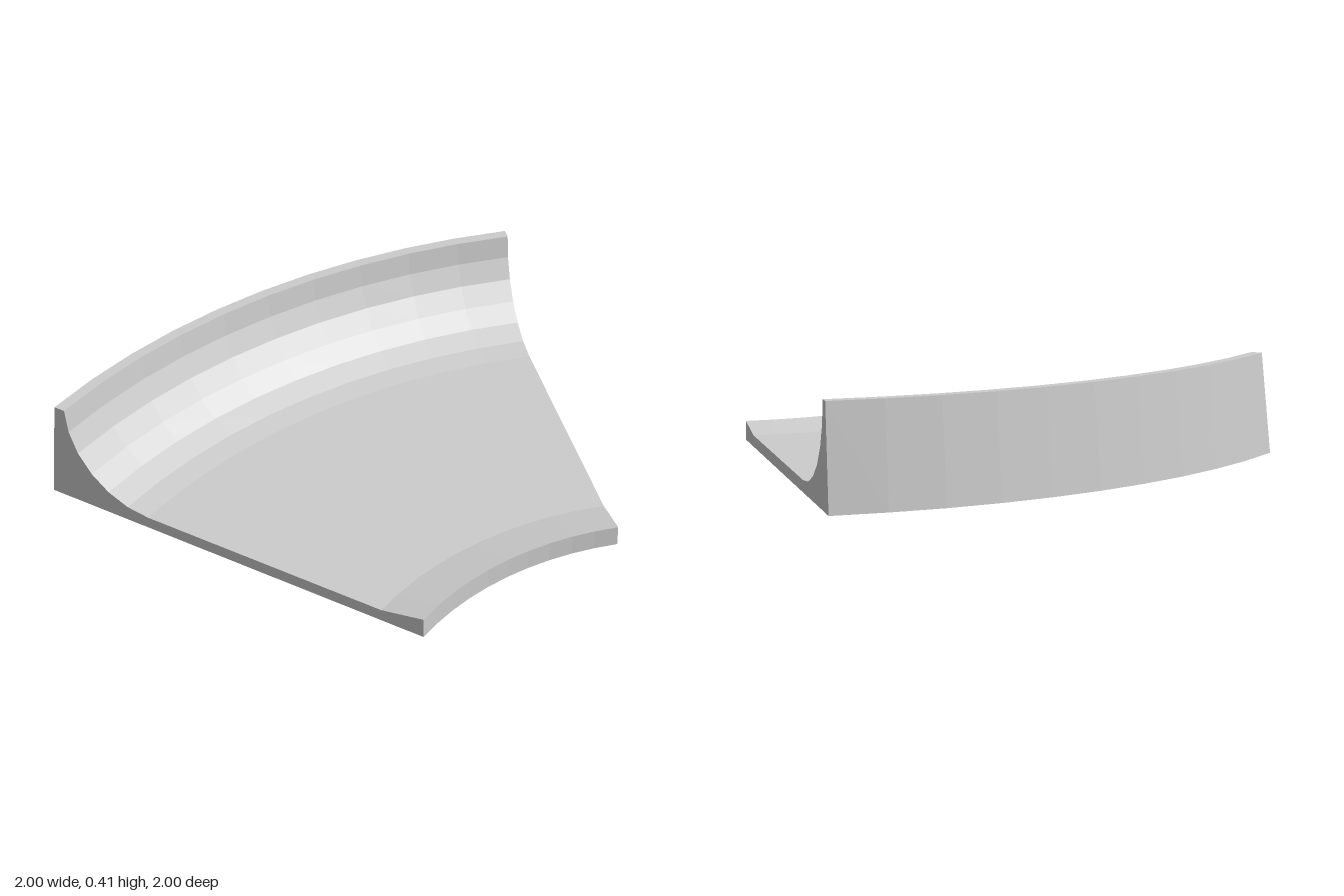
import * as THREE from 'three';

const CX = 1.828, CZ = 1;        // centre of the bend
const SWEEP = Math.PI / 4, SEGMENTS = 10;

// Closed cross-section as [radius, height], running up the outer wall and back along the floor
function crossSection() {
  const at = (x, y) => new THREE.Vector2(CX - x, y);
  const pts = [at(-1, 0), at(-0.955, 0.405)];
  // concave quarter round from the wall top down to the floor
  for (let i = 0; i <= 6; i++) {
    const a = (i / 6) * Math.PI / 2;
    pts.push(at(-0.55 - 0.36 * Math.cos(a), 0.405 - 0.358 * Math.sin(a)));
  }
  pts.push(at(0.48, 0.047), at(0.657, 0.08), at(0.657, 0));
  return pts;
}

export function createModel() {
  const group = new THREE.Group();
  group.name = 'curvedBankSection';
  const grey = new THREE.MeshStandardMaterial({ color: 0xcccccc });
  grey.name = 'light grey';

  const add = (name, geometry) => {
    const mesh = new THREE.Mesh(geometry, grey);
    mesh.name = name;
    mesh.position.set(CX, 0, CZ);
    group.add(mesh);
    return mesh;
  };

  // Swept body with flat facets
  const section = crossSection();
  const body = new THREE.LatheGeometry([...section, section[0].clone()], SEGMENTS, -Math.PI / 2 - SWEEP, SWEEP).toNonIndexed();
  body.computeVertexNormals();
  add('curvedBank', body);

  // Flat faces closing both ends
  const mirrored = section.map(p => new THREE.Vector2(-p.x, p.y));
  add('frontEnd', new THREE.ShapeGeometry(new THREE.Shape(mirrored)));
  add('backEnd', new THREE.ShapeGeometry(new THREE.Shape(section))).rotation.y = Math.PI - SWEEP;

  return group;
}
